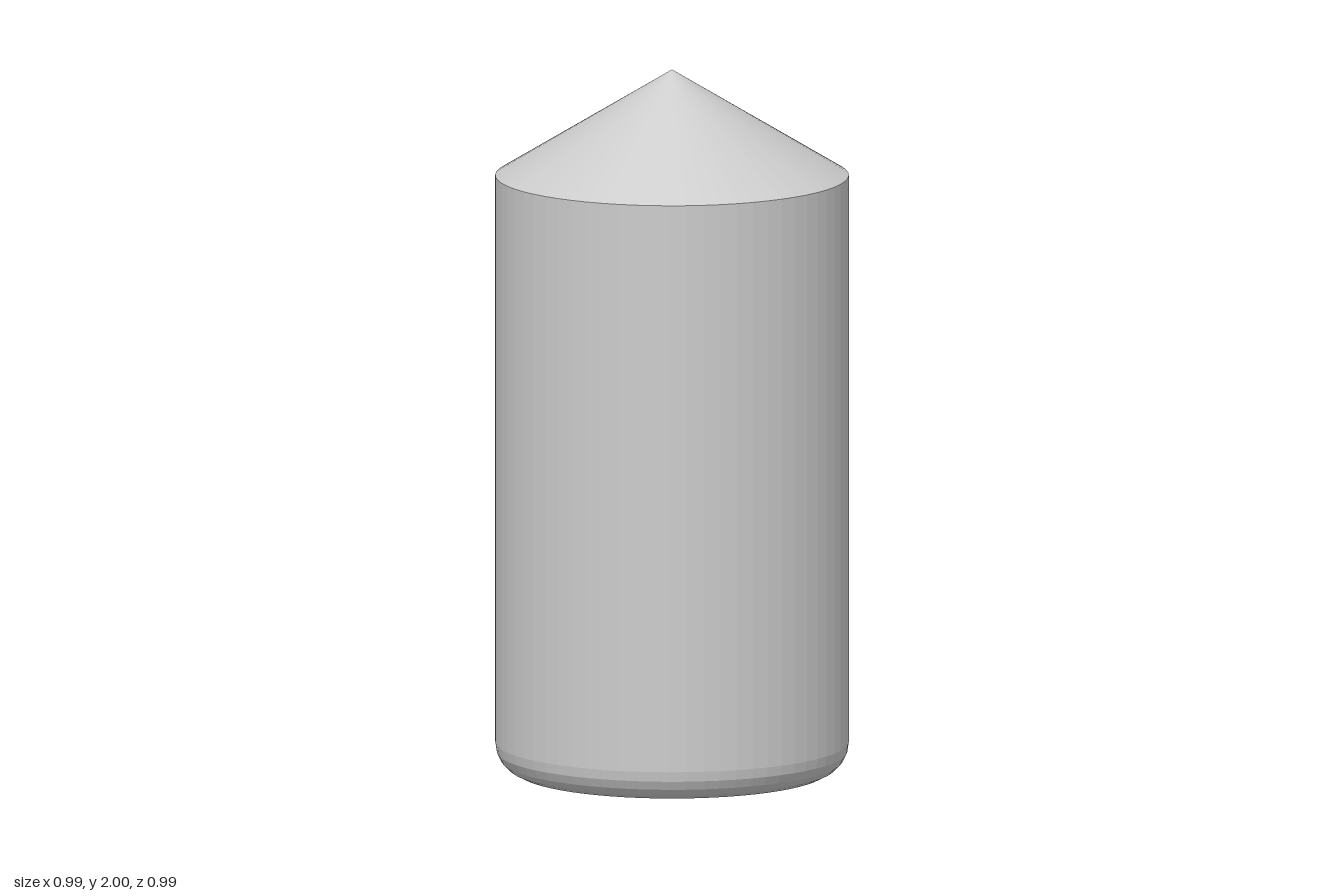
import * as THREE from 'three';

const SIDES = 64;
const RADIUS = 0.495;
const SHOULDER = 1.7; // height where the cone starts
const FILLET = 0.09; // rounding of the bottom rim

export function createModel() {
  const group = new THREE.Group();
  const material = new THREE.MeshStandardMaterial({ color: 0xcccccc, flatShading: true });

  function addLathe(name, points) {
    const mesh = new THREE.Mesh(new THREE.LatheGeometry(points, SIDES), material);
    mesh.name = name;
    group.add(mesh);
  }

  // Cylindrical body: flat base, rounded bottom rim, straight wall
  const profile = [new THREE.Vector2(0, 0)];
  const steps = 5;
  for (let i = 0; i <= steps; i++) {
    const a = (i / steps) * Math.PI / 2;
    profile.push(new THREE.Vector2(
      RADIUS - FILLET + FILLET * Math.sin(a),
      FILLET - FILLET * Math.cos(a)
    ));
  }
  profile.push(new THREE.Vector2(RADIUS, SHOULDER));
  addLathe('body', profile);

  // Conical tip
  addLathe('conicalTip', [new THREE.Vector2(RADIUS, SHOULDER), new THREE.Vector2(0, 2)]);

  return group;
}
